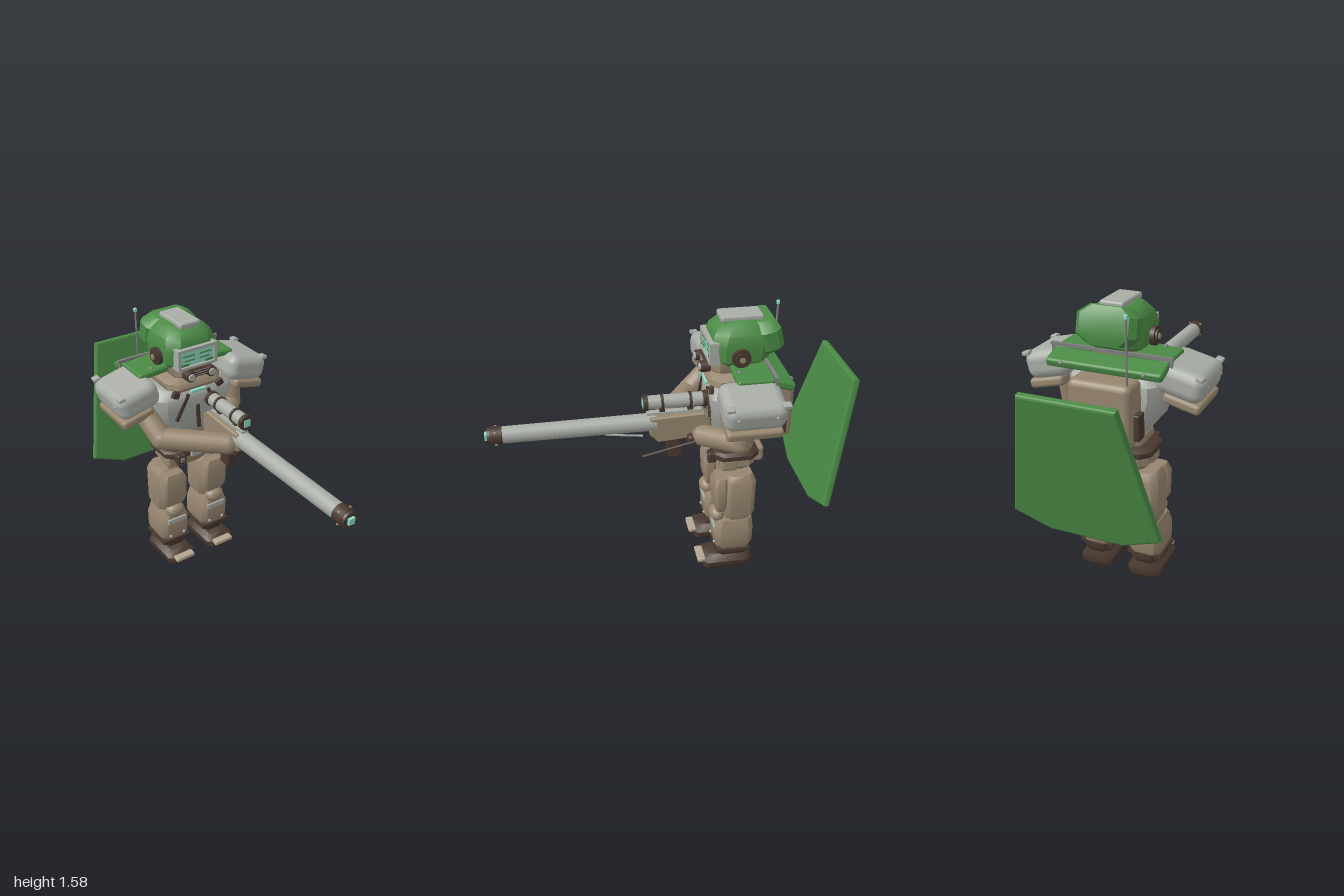
import * as THREE from 'three';
import { toCreasedNormals } from 'three/addons/utils/BufferGeometryUtils.js';
import { RoundedBoxGeometry } from 'three/addons/geometries/RoundedBoxGeometry.js';

const paint = (name, color) => Object.assign(new THREE.MeshStandardMaterial({ color }), { name });
const V = (a) => new THREE.Vector3(...a);

export function createModel() {
  const green = paint('armour green', 0x4a8a45), grey = paint('pale grey', 0xa9ada6);
  const beige = paint('khaki beige', 0x97866f), dark = paint('dark brown', 0x49392f);
  const teal = paint('lens teal', 0x8fdac4), steel = paint('steel grey', 0x7d807c);
  const pale = paint('toe beige', 0xb3a692);

  const root = new THREE.Group();
  const group = (name, parent = root) => {
    const g = new THREE.Group();
    g.name = name;
    parent.add(g);
    return g;
  };
  const add = (parent, name, geo, mat, pos = [0, 0, 0], rot = [0, 0, 0]) => {
    const m = new THREE.Mesh(geo, mat);
    m.name = name;
    m.position.set(...pos);
    m.rotation.set(...rot);
    parent.add(m);
    return m;
  };
  const rbox = (w, h, d, r = 0.015) => new RoundedBoxGeometry(w, h, d, 2, r);
  const box = (w, h, d) => new THREE.BoxGeometry(w, h, d);
  const cyl = (r0, r1, h, n = 20) => new THREE.CylinderGeometry(r1, r0, h, n);
  const ball = (r) => new THREE.SphereGeometry(r, 20, 14);

  // Stack of chamfered rectangles, each [y, halfWidth, zBack, zFront, corner]
  const loft = (sections) => {
    const rings = sections.map(([y, w, b, f, c]) => [
      [w, y, b + c], [w, y, f - c], [w - c, y, f], [c - w, y, f],
      [-w, y, f - c], [-w, y, b + c], [c - w, y, b], [w - c, y, b]]);
    const p = [];
    for (let k = 0; k < rings.length - 1; k++) for (let i = 0; i < 8; i++) {
      const j = (i + 1) % 8, lo = rings[k], hi = rings[k + 1];
      p.push(...lo[i], ...hi[i], ...lo[j], ...hi[i], ...hi[j], ...lo[j]);
    }
    const bot = rings[0], top = rings[rings.length - 1];
    for (let i = 1; i < 7; i++) {
      p.push(...top[0], ...top[i + 1], ...top[i]);
      p.push(...bot[0], ...bot[i], ...bot[i + 1]);
    }
    const g = new THREE.BufferGeometry();
    g.setAttribute('position', new THREE.Float32BufferAttribute(p, 3));
    return toCreasedNormals(g, 0.7);
  };

  // Tapered round bar between two points
  const bar = (parent, name, a, b, r0, r1, mat, n = 16) => {
    const A = V(a), B = V(b), d = B.clone().sub(A);
    const m = add(parent, name, cyl(r0, r1, d.length(), n), mat, A.clone().add(B).multiplyScalar(0.5).toArray());
    m.quaternion.setFromUnitVectors(new THREE.Vector3(0, 1, 0), d.normalize());
    return m;
  };

  // Legs
  for (const s of [-1, 1]) {
    const leg = group(s > 0 ? 'leftLeg' : 'rightLeg');
    leg.position.x = s * 0.145;
    add(leg, 'boot', loft([[0, 0.07, -0.46, -0.2, 0.03], [0.03, 0.095, -0.48, -0.18, 0.03],
      [0.065, 0.095, -0.48, -0.18, 0.03], [0.1, 0.06, -0.47, -0.22, 0.025]]), dark);
    add(leg, 'toePlate', rbox(0.13, 0.03, 0.05, 0.01), pale, [0, 0.066, -0.175]);
    add(leg, 'ankle', loft([[0.09, 0.06, -0.45, -0.27, 0.03], [0.12, 0.08, -0.47, -0.26, 0.03], [0.16, 0.08, -0.47, -0.26, 0.03]]), dark);
    add(leg, 'ankleStrap', box(0.195, 0.018, 0.2), dark, [0, 0.15, -0.355]);
    add(leg, 'shin', loft([[0.15, 0.08, -0.46, -0.27, 0.03], [0.19, 0.095, -0.475, -0.25, 0.03],
      [0.3, 0.095, -0.475, -0.245, 0.03], [0.36, 0.075, -0.47, -0.26, 0.03]]), beige);
    add(leg, 'shinPlate', rbox(0.13, 0.036, 0.012, 0.005), grey, [0, 0.308, -0.246]);
    for (const x of [-0.048, 0.048]) add(leg, 'rivet', ball(0.01), grey, [x, 0.195, -0.25]);
    add(leg, 'knee', ball(1), beige, [0, 0.378, -0.268]).scale.set(0.062, 0.046, 0.046);
    add(leg, 'thigh', loft([[0.34, 0.065, -0.46, -0.32, 0.03], [0.4, 0.08, -0.48, -0.3, 0.03],
      [0.62, 0.08, -0.48, -0.3, 0.03], [0.66, 0.06, -0.46, -0.32, 0.03]]), beige);
    add(leg, 'thighPlate', loft([[0.42, 0.06, -0.31, -0.255, 0.012], [0.46, 0.08, -0.31, -0.245, 0.015],
      [0.6, 0.08, -0.31, -0.235, 0.015], [0.645, 0.06, -0.31, -0.25, 0.012]]), beige);
  }

  // Hips and belt
  const hips = group('hips');
  add(hips, 'pelvis', loft([[0.635, 0.1, -0.43, -0.33, 0.03], [0.7, 0.165, -0.48, -0.28, 0.04], [0.76, 0.165, -0.48, -0.28, 0.04]]), beige);
  add(hips, 'belt', loft([[0.745, 0.17, -0.48, -0.25, 0.04], [0.76, 0.19, -0.5, -0.24, 0.05],
    [0.785, 0.19, -0.5, -0.24, 0.05], [0.8, 0.17, -0.48, -0.25, 0.04]]), dark);
  add(hips, 'buckle', rbox(0.08, 0.045, 0.02, 0.006), grey, [0, 0.768, -0.235]);
  add(hips, 'backPouch', rbox(0.2, 0.1, 0.07, 0.02), beige, [0, 0.73, -0.51]);
  for (const s of [-1, 1]) {
    add(hips, 'beltPouch', rbox(0.06, 0.065, 0.05, 0.012), dark, [s * 0.115, 0.76, -0.232]);
    add(hips, 'beltStud', rbox(0.028, 0.028, 0.01, 0.004), steel, [s * 0.115, 0.762, -0.205]);
    add(hips, 'hipPouch', rbox(0.065, 0.08, 0.1, 0.02), beige, [s * 0.138, 0.715, -0.33]);
  }
  add(hips, 'lowerWaist', rbox(0.28, 0.07, 0.2, 0.03), beige, [0, 0.835, -0.375]);
  add(hips, 'upperWaist', rbox(0.25, 0.08, 0.18, 0.03), beige, [0, 0.88, -0.375]);

  // Torso
  const torso = group('torso');
  add(torso, 'chest', loft([[0.885, 0.15, -0.5, -0.28, 0.04], [0.96, 0.21, -0.53, -0.24, 0.05],
    [1.1, 0.25, -0.53, -0.21, 0.05], [1.17, 0.25, -0.53, -0.205, 0.05], [1.22, 0.2, -0.5, -0.23, 0.04]]), grey);
  add(torso, 'collar', loft([[1.2, 0.16, -0.5, -0.22, 0.05], [1.225, 0.175, -0.51, -0.2, 0.05],
    [1.255, 0.175, -0.51, -0.21, 0.05], [1.28, 0.14, -0.48, -0.24, 0.05]]), beige);
  add(torso, 'chestLamp', rbox(0.1, 0.018, 0.02, 0.005), teal, [0, 1.195, -0.208]);
  add(torso, 'centreStrap', box(0.022, 0.21, 0.012), dark, [0, 1.06, -0.212], [-0.1, 0, 0]);
  for (const s of [-1, 1]) {
    add(torso, 'chestStrap', box(0.02, 0.17, 0.012), dark, [s * 0.105, 1.11, -0.207], [0, 0, s * 0.5]);
    add(torso, 'strapBuckle', rbox(0.045, 0.04, 0.025, 0.006), dark, [s * 0.145, 1.2, -0.21], [0, 0, s * 0.4]);
  }
  add(torso, 'backpack', rbox(0.34, 0.34, 0.16, 0.035), beige, [0, 1.05, -0.592]);
  for (const s of [-1, 1]) add(torso, 'packPouch', rbox(0.035, 0.14, 0.07, 0.008), dark, [s * 0.182, 0.995, -0.595]);
  bar(torso, 'antenna', [-0.14, 1.2, -0.635], [-0.14, 1.55, -0.635], 0.006, 0.006, steel, 8);
  add(torso, 'antennaTip', rbox(0.018, 0.022, 0.018, 0.004), teal, [-0.14, 1.555, -0.635]);

  // Shoulder yoke with its cross rail
  const yoke = group('yoke');
  add(yoke, 'yokeLip', rbox(0.62, 0.045, 0.12, 0.015), green, [0, 1.282, -0.56], [-0.3, 0, 0]);
  add(yoke, 'rail', box(0.66, 0.018, 0.016), steel, [0, 1.332, -0.512]);
  for (const s of [-1, 1]) {
    add(yoke, 'yokePlate', rbox(0.19, 0.04, 0.2, 0.015), green, [s * 0.215, 1.312, -0.41], [0, 0, s * -0.08]);
    add(yoke, 'railPost', box(0.014, 0.07, 0.014), steel, [s * 0.318, 1.305, -0.512]);
    for (const z of [-0.62, -0.34]) add(yoke, 'yokeStud', ball(0.012), steel, [s * 0.22, z < -0.5 ? 1.275 : 1.332, z]);
  }

  // Shoulder pads
  for (const s of [-1, 1]) {
    const pad = group(s > 0 ? 'leftShoulder' : 'rightShoulder');
    pad.position.set(s * 0.36, 1.215, -0.375);
    pad.rotation.z = -s * 0.24;
    add(pad, 'pad', rbox(0.26, 0.155, 0.33, 0.055), grey);
    add(pad, 'padSkirt', rbox(0.2, 0.055, 0.3, 0.02), beige, [s * 0.035, -0.098, 0]);
    for (const z of [-0.15, 0.14]) add(pad, 'padClip', rbox(0.04, 0.022, 0.045, 0.006), grey, [s * 0.095, 0.072, z]);
    for (const z of [-0.1, 0.1]) add(pad, 'padRivet', ball(0.01), grey, [s * 0.125, 0.02, z]);
  }

  // Arms bent around the launcher: [shoulder, elbow, wrist]
  const arms = {
    rightArm: [[-0.32, 1.16, -0.36], [-0.27, 0.985, -0.17], [0.02, 0.965, 0.05]],
    leftArm: [[0.33, 1.16, -0.37], [0.315, 0.965, -0.34], [0.14, 0.92, -0.17]],
  };
  for (const [name, [shoulder, elbow, wrist]] of Object.entries(arms)) {
    const arm = group(name);
    bar(arm, 'upperArm', shoulder, elbow, 0.06, 0.062, beige);
    add(arm, 'elbow', ball(0.063), beige, elbow);
    bar(arm, 'forearm', elbow, wrist, 0.062, 0.06, beige);
    add(arm, 'cuff', ball(0.06), beige, wrist);
  }
  add(root, 'rightHand', rbox(0.08, 0.06, 0.09, 0.02), dark, [0.07, 0.925, 0.07]);
  add(root, 'leftHand', rbox(0.08, 0.07, 0.09, 0.02), dark, [0.13, 0.9, -0.13]);

  // Head
  const head = group('head');
  add(head, 'jaw', loft([[1.26, 0.1, -0.48, -0.25, 0.03], [1.29, 0.125, -0.5, -0.22, 0.04], [1.36, 0.125, -0.5, -0.22, 0.04]]), beige);
  add(head, 'helmet', loft([[1.325, 0.125, -0.49, -0.25, 0.05], [1.355, 0.155, -0.53, -0.225, 0.06], [1.44, 0.16, -0.54, -0.22, 0.06],
    [1.5, 0.145, -0.53, -0.235, 0.06], [1.54, 0.11, -0.5, -0.27, 0.05], [1.555, 0.07, -0.47, -0.3, 0.03]]), green);
  add(head, 'helmetBack', loft([[-0.095, 0.1, -0.05, 0.05, 0.025], [-0.05, 0.16, -0.068, 0.06, 0.03],
    [0.05, 0.16, -0.068, 0.06, 0.03], [0.095, 0.1, -0.05, 0.05, 0.025]]), green, [0, 1.465, -0.52], [0.25, 0, 0]);
  add(head, 'crest', rbox(0.13, 0.035, 0.23, 0.012), grey, [0, 1.56, -0.385]);
  add(head, 'visor', box(0.225, 0.09, 0.04), teal, [0, 1.402, -0.23]);
  for (const y of [1.345, 1.451]) add(head, 'frameBar', box(0.25, 0.016, 0.06), grey, [0, y, -0.23]);
  for (const s of [-1, 1]) {
    add(head, 'frameSide', box(0.018, 0.12, 0.06), grey, [s * 0.117, 1.398, -0.23]);
    add(head, 'eyeSlit', box(0.075, 0.008, 0.004), green, [s * 0.053, 1.415, -0.209]);
    add(head, 'eyeLower', box(0.065, 0.007, 0.004), green, [s * 0.05, 1.388, -0.209]);
    add(head, 'cheekNotch', box(0.05, 0.014, 0.004), green, [s * 0.078, 1.364, -0.209]);
    add(head, 'filter', cyl(0.032, 0.03, 0.05, 16), dark, [s * 0.067, 1.308, -0.188], [Math.PI / 2, 0, 0]);
    add(head, 'filterCap', cyl(0.022, 0.02, 0.01, 16), grey, [s * 0.067, 1.308, -0.16], [Math.PI / 2, 0, 0]);
    add(head, 'earDisc', cyl(0.05, 0.05, 0.025, 20), dark, [s * 0.17, 1.388, -0.36], [0, 0, Math.PI / 2]);
    add(head, 'earCap', cyl(0.034, 0.034, 0.02, 20), dark, [s * 0.183, 1.388, -0.36], [0, 0, Math.PI / 2]);
    add(head, 'earBolt', cyl(0.016, 0.016, 0.008, 12), beige, [s * 0.194, 1.388, -0.36], [0, 0, Math.PI / 2]);
  }
  add(head, 'respirator', rbox(0.16, 0.055, 0.05, 0.012), dark, [0, 1.312, -0.212]);
  for (const y of [1.298, 1.312, 1.326]) add(head, 'grilleBar', box(0.075, 0.005, 0.006), steel, [0, y, -0.186]);

  // Launcher, pointing forward along z
  const gun = group('launcher');
  gun.position.set(0.082, 1, 0);
  const along = (name, r0, r1, z0, z1, mat, y = 0, n = 24) =>
    add(gun, name, cyl(r0, r1, z1 - z0, n), mat, [0, y, (z0 + z1) / 2], [Math.PI / 2, 0, 0]);
  along('barrel', 0.05, 0.046, 0.08, 0.91, grey);
  along('muzzle', 0.05, 0.05, 0.905, 0.97, dark);
  along('muzzleRim', 0.046, 0.042, 0.97, 0.985, dark);
  add(gun, 'muzzleLens', box(0.036, 0.036, 0.03), teal, [0, 0, 0.985]);
  for (let i = 0; i < 4; i++) {
    const a = i * Math.PI / 2 + Math.PI / 4;
    add(gun, 'muzzleBolt', ball(0.008), beige, [Math.cos(a) * 0.05, Math.sin(a) * 0.05, 0.94]);
  }
  const profile = new THREE.Shape([[-0.21, -0.085], [0.07, -0.105], [0.11, -0.06], [0.11, 0.035], [-0.18, 0.045], [-0.21, 0.02]]
    .map(([z, y]) => new THREE.Vector2(-z, y)));
  add(gun, 'receiver', new THREE.ExtrudeGeometry(profile, { depth: 0.07, bevelSize: 0.008, bevelThickness: 0.01, bevelSegments: 1 })
    .translate(0, 0, -0.035), beige, [0, 0, 0], [0, Math.PI / 2, 0]);
  add(gun, 'topRail', box(0.035, 0.014, 0.3), grey, [0, 0.056, -0.02]);
  along('scope', 0.038, 0.038, -0.19, 0.13, grey, 0.122);
  for (const [z0, z1] of [[-0.2, -0.175], [-0.115, -0.1], [0.04, 0.055], [0.125, 0.15]]) along('scopeRing', 0.044, 0.044, z0, z1, dark, 0.122);
  add(gun, 'scopeLens', box(0.042, 0.042, 0.008), teal, [0, 0.122, 0.15]);
  for (const z of [-0.11, 0.045]) add(gun, 'scopeMount', box(0.025, 0.04, 0.03), dark, [0, 0.075, z]);
  add(gun, 'grip', rbox(0.06, 0.14, 0.085, 0.012), dark, [0, -0.16, -0.02], [0.15, 0, 0]);
  bar(gun, 'sideLever', [0.088, -0.165, 0.17], [0.088, -0.08, -0.2], 0.008, 0.008, dark, 8);
  bar(gun, 'underStay', [0.02, -0.073, 0.155], [0.02, -0.045, 0.36], 0.006, 0.006, grey, 8);

  // Tilted shield plate standing clear of the back
  const outline = [[-0.24, 0.385], [-0.388, -0.32], [-0.2, -0.395], [0.2, -0.395], [0.388, -0.32], [0.24, 0.385]];
  const shield = new THREE.ExtrudeGeometry(new THREE.Shape(outline.map((p) => new THREE.Vector2(...p))),
    { depth: 0.02, bevelSize: 0.012, bevelThickness: 0.012, bevelSegments: 2 }).translate(0, 0, -0.01);
  add(root, 'backShield', shield, green, [0, 0.86, -0.9], [-0.2, 0, 0]);

  return root;
}
